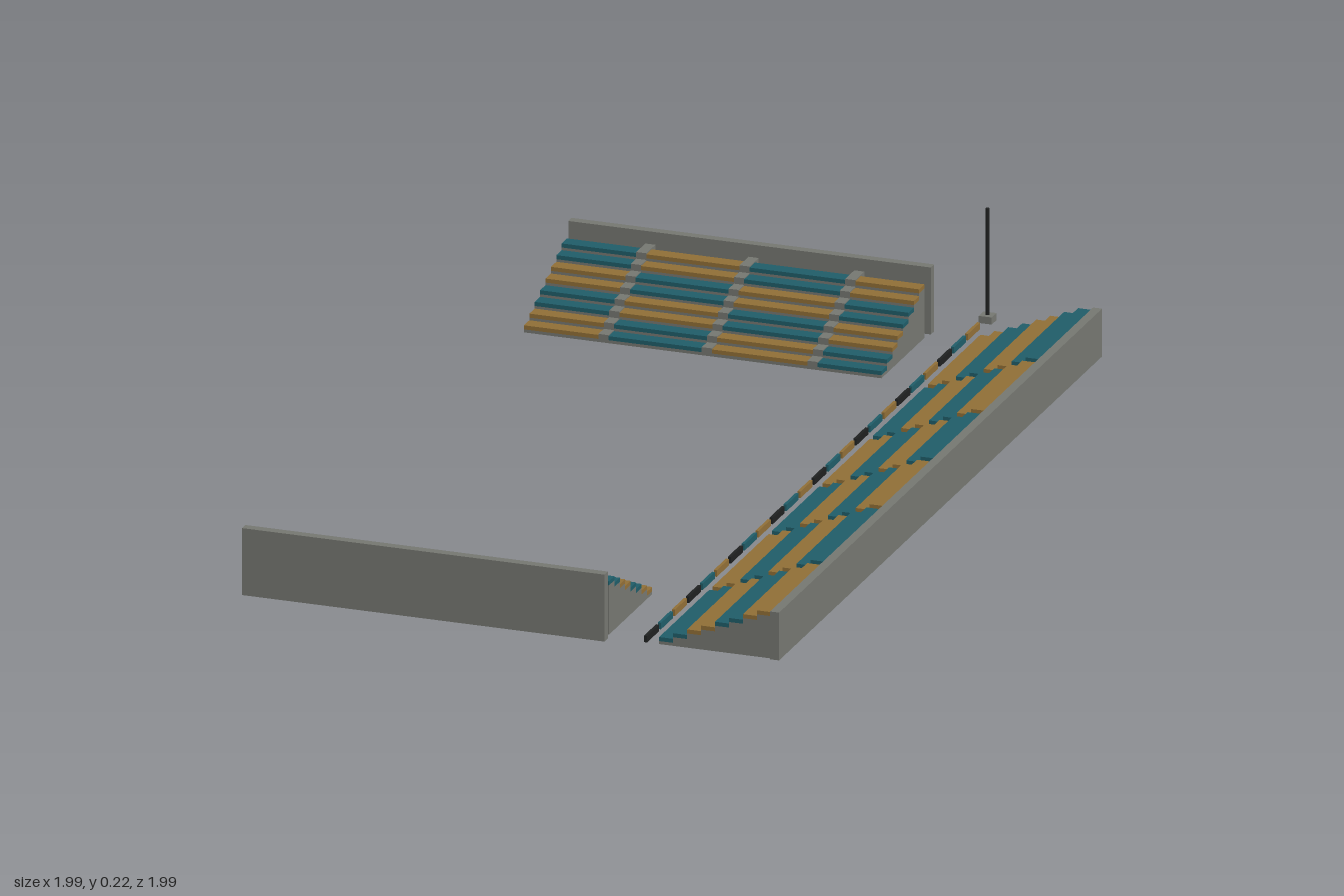
import * as THREE from 'three';

const mat = (name, color) => {
  const m = new THREE.MeshStandardMaterial({ color });
  m.name = name;
  return m;
};

export function createModel() {
  const concrete = mat('concrete grey', 0x747670);
  const teal = mat('seat teal', 0x1f5c68);
  const gold = mat('seat gold', 0x8f6e36);
  const dark = mat('dark metal', 0x1e2020);

  const box = (parent, name, material, x0, x1, y0, y1, z0, z1) => {
    const mesh = new THREE.Mesh(new THREE.BoxGeometry(x1 - x0, y1 - y0, z1 - z0), material);
    mesh.position.set((x0 + x1) / 2, (y0 + y1) / 2, (z0 + z1) / 2);
    mesh.name = name;
    parent.add(mesh);
    return mesh;
  };

  // Stepped solid running along x from x0 to x1, rising towards +z
  const steps = (parent, name, x0, x1, tops, tread, back) => {
    const s = new THREE.Shape();
    s.moveTo(0, 0);
    tops.forEach((y, i) => {
      s.lineTo(-i * tread, y);
      s.lineTo(i === tops.length - 1 ? -back : -(i + 1) * tread, y);
    });
    s.lineTo(-back, 0);
    const geo = new THREE.ExtrudeGeometry(s, { depth: x1 - x0, bevelEnabled: false });
    geo.rotateY(Math.PI / 2);
    const mesh = new THREE.Mesh(geo, concrete);
    mesh.position.x = x0;
    mesh.name = name;
    parent.add(mesh);
  };

  const ROWS = 8, SEAT = 0.008;

  // Seat rows in blocks; pairs of rows alternate colour, and so do neighbouring blocks
  const stand = (name, { cuts, gap, depth, low, high, wallZ, wallTop, aisles }) => {
    const g = new THREE.Group();
    g.name = name;
    const tread = depth / ROWS;
    const seatTop = i => low + (high - low) * i / (ROWS - 1);
    const tops = Array.from({ length: ROWS }, (_, i) => seatTop(i) - SEAT);
    const n = cuts.length - 1;
    for (let k = 0; k < n; k++) {
      const x0 = cuts[k] + (k ? gap / 2 : 0);
      const x1 = cuts[k + 1] - (k < n - 1 ? gap / 2 : 0);
      steps(g, 'terraceBlock', x0, x1, tops, tread, depth);
      for (let i = 0; i < ROWS; i++) {
        const color = ((i >> 1) + k) % 2 ? gold : teal;
        box(g, 'seatRow', color, x0, x1, tops[i], seatTop(i), i * tread, (i + 1) * tread);
      }
      // Stair aisle reaching back to the wall
      if (aisles && k < n - 1) {
        steps(g, 'stairAisle', x1, x1 + gap, tops.map(y => y + SEAT + 0.002), tread, wallZ);
      }
    }
    box(g, 'backWall', concrete, cuts[0] - 0.005, cuts[n] + 0.005, 0, wallTop, wallZ, wallZ + 0.018);
    return g;
  };

  const model = new THREE.Group();
  model.name = 'stadiumStands';
  const ground = new THREE.Group();
  ground.name = 'rotatedLayout';
  ground.rotation.y = Math.PI / 4;
  model.add(ground);

  // Long main stand
  const main = stand('mainStand', {
    cuts: [-0.863, -0.584, -0.266, 0.006, 0.278, 0.572, 0.863],
    gap: 0.018, depth: 0.222, low: 0.014, high: 0.092, wallZ: 0.222, wallTop: 0.095,
  });
  main.position.z = 0.292;
  ground.add(main);

  // Two shorter end stands
  const ends = { gap: 0.02, depth: 0.232, low: 0.014, high: 0.106, wallZ: 0.252, wallTop: 0.133, aisles: true };
  const left = stand('leftEndStand', { ...ends, cuts: [-0.523, -0.365, -0.16, 0.05, 0.187] });
  left.rotation.y = -Math.PI / 2;
  left.position.x = -0.616;
  const right = stand('rightEndStand', { ...ends, cuts: [-0.187, -0.05, 0.16, 0.365, 0.523] });
  right.rotation.y = Math.PI / 2;
  right.position.x = 0.616;
  ground.add(left, right);

  // Low pitch-side boards in front of the main stand
  const boards = new THREE.Group();
  boards.name = 'sideBoards';
  const count = 24, pitch = 1.8 / count;
  for (let i = 0; i < count; i++) {
    const x = -0.863 + i * pitch;
    box(boards, 'board', [dark, teal, gold][i % 3], x, x + pitch - 0.01, 0, 0.013, 0.262, 0.268);
  }
  ground.add(boards);

  // Flagpole on a small plinth
  const pole = new THREE.Group();
  pole.name = 'flagpole';
  box(pole, 'plinth', concrete, 0.957, 0.983, 0, 0.014, 0.254, 0.28);
  const mast = new THREE.Mesh(new THREE.CylinderGeometry(0.004, 0.004, 0.211, 8), dark);
  mast.name = 'mast';
  mast.position.set(0.97, 0.1195, 0.267);
  pole.add(mast);
  ground.add(pole);

  return model;
}
